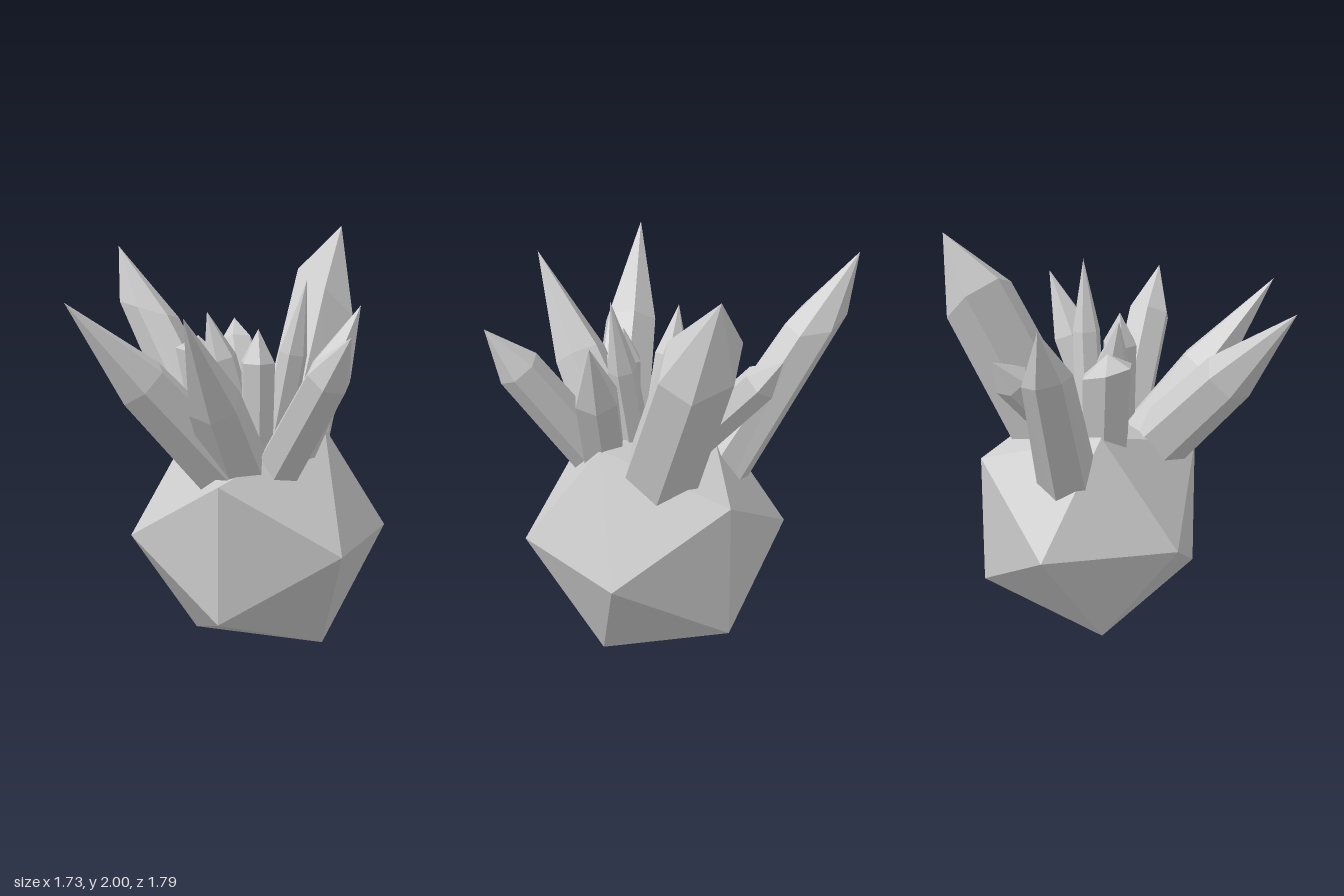
import * as THREE from 'three';
import { ConvexGeometry } from 'three/addons/geometries/ConvexGeometry.js';

const CENTER = new THREE.Vector3(0.195, 0.545, 0.105);
const RADIUS = 0.641;
const UP = new THREE.Vector3(0, 1, 0);

// Twenty-sided rock: one point at the front and back, two rings of five between
function rockGeometry() {
  const points = [new THREE.Vector3(0, 0, RADIUS), new THREE.Vector3(0, 0, -RADIUS)];
  const ring = RADIUS * 2 / Math.sqrt(5), depth = RADIUS / Math.sqrt(5);
  for (let i = 0; i < 10; i++) {
    const a = i * Math.PI / 5;
    points.push(new THREE.Vector3(ring * Math.cos(a), ring * Math.sin(a), i % 2 ? -depth : depth));
  }
  return new ConvexGeometry(points);
}

// Six-sided crystal growing from a root inside the rock to a pointed tip.
// tilt slants the shoulder: corners lying towards it sit nearer the tip.
function crystal({ name, root, tip, base, shoulder, cap, tilt = [0, 0, 0], turn = 0 }, material) {
  const start = new THREE.Vector3(...root);
  const axis = new THREE.Vector3(...tip).sub(start);
  const length = axis.length();
  const q = new THREE.Quaternion().setFromUnitVectors(UP, axis.normalize());
  const localTilt = new THREE.Vector3(...tilt).applyQuaternion(q.clone().invert());

  const profile = [[0, 0.22], [base, 0.22], [shoulder, length - cap], [0, length]];
  let geometry = new THREE.LatheGeometry(profile.map(p => new THREE.Vector2(...p)), 6, turn);
  const pos = geometry.attributes.position;
  for (let i = 0; i < pos.count; i++) {
    if (i % 4 === 2) {
      pos.setY(i, pos.getY(i) + pos.getX(i) * localTilt.x + pos.getZ(i) * localTilt.z);
    }
  }
  geometry = geometry.toNonIndexed();
  geometry.computeVertexNormals();

  const mesh = new THREE.Mesh(geometry, material);
  mesh.name = name;
  mesh.position.copy(start);
  mesh.quaternion.copy(q);
  return mesh;
}

const CRYSTALS = [
  // large outer crystals
  { name: 'leftCrystal', root: [0.21, 0.52, 0.185], tip: [0.865, 2, -0.09], base: 0.2, shoulder: 0.185, cap: 0.38, tilt: [-0.2, 0.45, -0.5], turn: 0.3 },
  { name: 'rightCrystal', root: [0.195, 0.56, 0.34], tip: [-0.87, 1.76, 0.03], base: 0.165, shoulder: 0.135, cap: 0.54, turn: 0.5 },
  { name: 'frontRightCrystal', root: [0.195, 0.545, 0.12], tip: [-0.6, 1.73, 0.585], base: 0.165, shoulder: 0.13, cap: 0.56, turn: 0.2 },
  { name: 'backCrystal', root: [0.25, 0.43, 0.08], tip: [0.035, 1.88, -0.9], base: 0.16, shoulder: 0.12, cap: 0.38, tilt: [-0.5, -0.5, -0.65] },
  { name: 'frontCrystal', root: [0.1, 0.545, 0.1], tip: [0.105, 1.62, 0.895], base: 0.12, shoulder: 0.11, cap: 0.26, turn: 0.2 },
  // medium crystals
  { name: 'frontLeftCrystal', root: [0.04, 0.6, 0.3], tip: [0.54, 1.68, 0.45], base: 0.11, shoulder: 0.11, cap: 0.34, turn: 0.4 },
  { name: 'backLeftCrystal', root: [0.06, 0.6, 0.28], tip: [0.455, 1.52, -0.455], base: 0.095, shoulder: 0.092, cap: 0.16, turn: 0.2 },
  { name: 'bluntBackCrystal', root: [0.1, 0.545, 0.05], tip: [0, 1.51, -0.14], base: 0.12, shoulder: 0.13, cap: 0.1, tilt: [-0.45, 0, -0.3], turn: 0.3 },
  // small middle crystals
  { name: 'middleCrystal', root: [0.21, 0.545, 0.16], tip: [-0.02, 1.64, -0.04], base: 0.09, shoulder: 0.085, cap: 0.24, turn: 0.2 },
  { name: 'middleFrontCrystal', root: [0.08, 0.6, 0.24], tip: [0.08, 1.58, 0.24], base: 0.075, shoulder: 0.088, cap: 0.16, turn: 0.5 },
  { name: 'slimCrystal', root: [0.18, 0.545, 0.13], tip: [0.305, 1.805, 0.325], base: 0.08, shoulder: 0.07, cap: 0.36, turn: 0.1 },
];

export function createModel() {
  const model = new THREE.Group();
  model.name = 'crystalCluster';
  const material = new THREE.MeshStandardMaterial({ color: 0xcccccc, flatShading: true });

  const rock = new THREE.Mesh(rockGeometry(), material);
  rock.name = 'rock';
  rock.position.copy(CENTER);
  model.add(rock);

  for (const spec of CRYSTALS) model.add(crystal(spec, material));
  return model;
}
